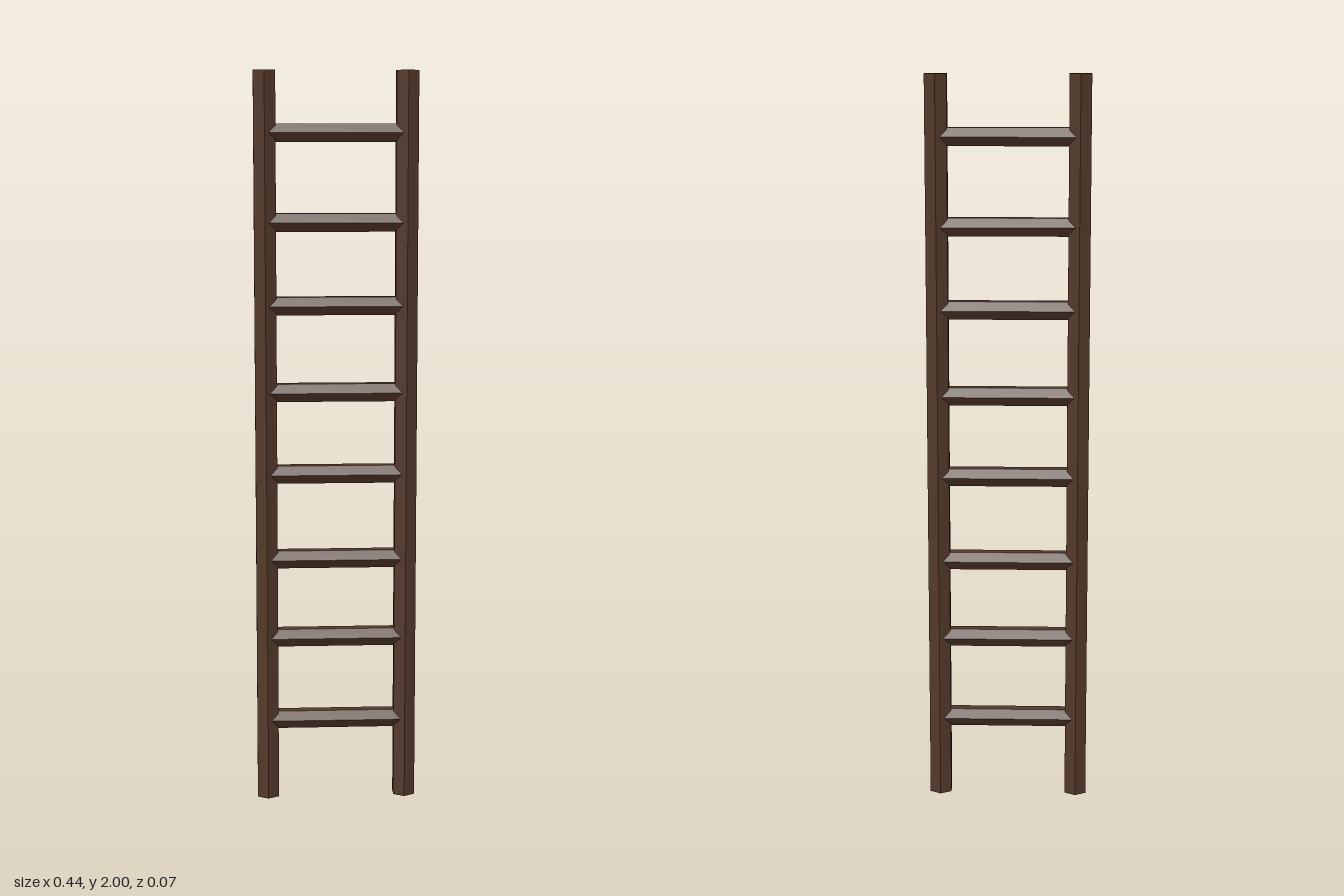
import * as THREE from 'three';

export function createModel() {
  const ladder = new THREE.Group();
  ladder.name = 'ladder';
  const wood = new THREE.MeshStandardMaterial({ color: 0x54392b, flatShading: true });

  // Six-sided side rails, one ridge facing front and one facing back
  const railGeometry = new THREE.CylinderGeometry(0.034, 0.034, 2, 6);
  for (const side of [-1, 1]) {
    const rail = new THREE.Mesh(railGeometry, wood);
    rail.name = side > 0 ? 'leftRail' : 'rightRail';
    rail.position.set(side * 0.19, 1, 0);
    ladder.add(rail);
  }

  // Six-sided rungs, flat on top, ending inside the rails
  const rungGeometry = new THREE.CylinderGeometry(0.028, 0.028, 0.38, 6).rotateZ(Math.PI / 2);
  const rungHeights = [0.223, 0.458, 0.68, 0.917, 1.142, 1.377, 1.6, 1.837];
  rungHeights.forEach((y, i) => {
    const rung = new THREE.Mesh(rungGeometry, wood);
    rung.name = `rung${i + 1}`;
    rung.position.y = y;
    ladder.add(rung);
  });

  return ladder;
}
